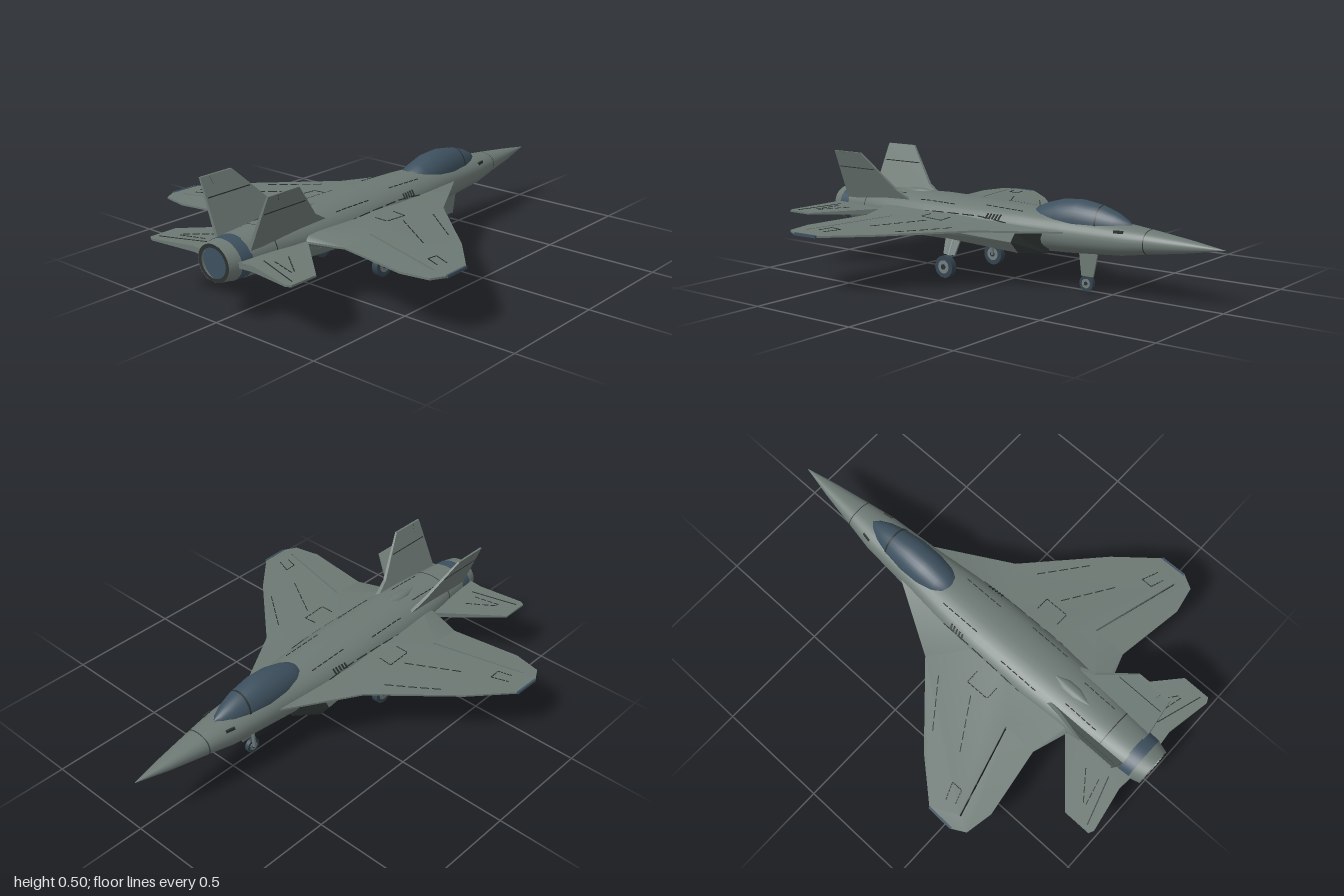
import * as THREE from 'three';
import { toCreasedNormals } from 'three/addons/utils/BufferGeometryUtils.js';

const mat = (name, color) => Object.assign(new THREE.MeshStandardMaterial({ color, side: THREE.DoubleSide }), { name });
const V = (x, y, z) => new THREE.Vector3(x, y, z);

export function createModel() {
  const root = new THREE.Group();
  root.name = 'jetAircraft';
  const grey = mat('hullGrey', 0x6c7873);
  const blue = mat('canopyBlue', 0x3d505e);
  const dark = mat('panelLineDark', 0x2b3130);
  const tyre = mat('tyreSlate', 0x34434e);
  const metal = mat('gearMetal', 0x717d80);

  const add = (name, geo, material) => {
    const m = new THREE.Mesh(geo, material);
    m.name = name;
    root.add(m);
    return m;
  };
  // reflect a geometry across x = 0 and restore its winding
  const mirrored = (geo) => {
    const g = geo.index ? geo.toNonIndexed() : geo.clone();
    g.scale(-1, 1, 1);
    for (const a of Object.values(g.attributes)) {
      for (let i = 0; i < a.count; i += 3) {
        for (let k = 0; k < a.itemSize; k++) {
          const t = a.getComponent(i + 1, k);
          a.setComponent(i + 1, k, a.getComponent(i + 2, k));
          a.setComponent(i + 2, k, t);
        }
      }
    }
    g.computeVertexNormals();
    return toCreasedNormals(g, 0.6);
  };
  const addPair = (name, geo, material) => {
    add(name + 'Right', mirrored(geo), material);
    return add(name + 'Left', geo, material);
  };
  // skin through rounded sections [z, halfWidth, bottom, top]
  const loft = (sections, n = 32, power = 2.2) => {
    const pos = [], idx = [];
    const curve = (v) => Math.sign(v) * Math.abs(v) ** (2 / power);
    sections.forEach(([z, w, b, t], i) => {
      for (let j = 0; j < n; j++) {
        const a = (j / n) * Math.PI * 2;
        pos.push(w * curve(Math.cos(a)), (b + t) / 2 + ((t - b) / 2) * curve(Math.sin(a)), z);
        if (i === sections.length - 1) continue;
        const p = i * n + j, q = i * n + ((j + 1) % n);
        idx.push(p, q, p + n, q, q + n, p + n);
      }
    });
    const g = new THREE.BufferGeometry();
    g.setAttribute('position', new THREE.Float32BufferAttribute(pos, 3));
    g.setIndex(idx);
    g.computeVertexNormals();
    return g;
  };
  // move every vertex by a rule, then refresh normals
  const reshape = (geo, rule) => {
    const p = geo.attributes.position, v = V(0, 0, 0);
    for (let i = 0; i < p.count; i++) {
      rule(v.fromBufferAttribute(p, i));
      p.setXYZ(i, v.x, v.y, v.z);
    }
    geo.computeVertexNormals();
    return geo;
  };
  const shapeOf = (pts) => new THREE.Shape(pts.map(([a, b]) => new THREE.Vector2(a, b)));
  const slab = (shape) => new THREE.ExtrudeGeometry(shape, { depth: 1, bevelEnabled: false });
  // thin box or rod between two points
  const bar = (p, q, w, h) => {
    const g = new THREE.BoxGeometry(w, h, p.distanceTo(q));
    const m = new THREE.Matrix4().lookAt(q, p, V(0, 1, 0));
    return g.applyMatrix4(m.setPosition(p.clone().lerp(q, 0.5)));
  };
  const rod = (p, q, r) => {
    const g = new THREE.CylinderGeometry(r, r, p.distanceTo(q), 12);
    g.applyQuaternion(new THREE.Quaternion().setFromUnitVectors(V(0, 1, 0), q.clone().sub(p).normalize()));
    const c = p.clone().lerp(q, 0.5);
    return g.translate(c.x, c.y, c.z);
  };

  // fuselage, nose joint and tail joint
  const hull = add('fuselage', loft([
    [-1, 0.001, 0.244, 0.246], [-0.85, 0.034, 0.216, 0.267], [-0.675, 0.065, 0.19, 0.288],
    [-0.55, 0.088, 0.17, 0.3], [-0.3, 0.108, 0.152, 0.315], [-0.1, 0.13, 0.145, 0.325],
    [0.1, 0.145, 0.14, 0.33], [0.4, 0.147, 0.14, 0.335], [0.65, 0.132, 0.147, 0.33],
    [0.78, 0.114, 0.15, 0.325], [0.9, 0.102, 0.155, 0.32]]), grey);
  add('noseJoint', loft([[-0.677, 0.066, 0.189, 0.289], [-0.673, 0.067, 0.188, 0.29]]), dark);
  add('tailJoint', loft([[0.778, 0.1155, 0.149, 0.3265], [0.782, 0.115, 0.149, 0.3265]]), dark);
  add('dorsalHump', loft([[0.46, 0.005, 0.3, 0.334], [0.52, 0.028, 0.3, 0.343], [0.58, 0.028, 0.3, 0.342], [0.65, 0.005, 0.3, 0.33]], 16), grey);

  // canopy with its frame
  add('canopy', loft([
    [-0.587, 0.004, 0.28, 0.3], [-0.565, 0.028, 0.24, 0.315], [-0.52, 0.05, 0.22, 0.338],
    [-0.45, 0.068, 0.2, 0.362], [-0.35, 0.08, 0.2, 0.377], [-0.26, 0.081, 0.2, 0.372],
    [-0.18, 0.072, 0.21, 0.35], [-0.14, 0.062, 0.22, 0.333], [-0.12, 0.03, 0.24, 0.318]], 32, 2), blue);
  add('canopyFrame', loft([[-0.454, 0.0685, 0.2, 0.363], [-0.446, 0.07, 0.2, 0.3645]], 32, 2), dark);

  // exhaust nozzle
  add('nozzleBand', loft([[0.895, 0.104, 0.153, 0.322], [0.95, 0.1, 0.155, 0.32]], 32, 2), blue);
  add('nozzle', loft([[0.95, 0.099, 0.156, 0.319], [1, 0.084, 0.162, 0.312]], 32, 2), grey);
  add('nozzleRim', new THREE.RingGeometry(0.066, 0.083, 32).scale(1, 0.91, 1).translate(0, 0.237, 0.999), dark);
  add('nozzleDisc', new THREE.CircleGeometry(0.07, 32).translate(0, 0.237, 0.985), blue);

  // wings: thick at the root and along the flap slot, thin at the edges
  const wingShape = shapeOf([[0.04, -0.33], [0.1, -0.33], [0.285, -0.01], [0.59, 0.27], [0.735, 0.437], [0.743, 0.56],
    [0.71, 0.62], [0.59, 0.643], [0.285, 0.597], [0.14, 0.645], [0.04, 0.645], [0.04, 0.2]]);
  wingShape.holes.push(new THREE.Path([[0.285, 0.445], [0.285, 0.452], [0.68, 0.56], [0.68, 0.553]].map(([a, b]) => new THREE.Vector2(a, b))));
  const wing = addPair('wing', toCreasedNormals(reshape(slab(wingShape).rotateX(Math.PI / 2), (v) => {
    const slot = v.z > 0.44 && v.z < 0.561 && v.x < 0.7;
    const t = slot ? 0.021 - 0.019 * v.x : v.x < 0.05 ? 0.03 : 0.004;
    v.y = 0.252 - 0.014 * v.x + (v.y > -0.5 ? t : -t);
  }), 0.6), grey);
  addPair('wingTipLight', bar(V(0.738, 0.242, 0.44), V(0.741, 0.242, 0.56), 0.009, 0.011), blue);

  // tailplanes
  const tail = addPair('tailplane', toCreasedNormals(reshape(slab(shapeOf([[0.05, 0.645], [0.14, 0.645], [0.382, 0.855],
    [0.382, 0.98], [0.36, 0.991], [0.16, 0.955], [0.05, 0.965]])).rotateX(Math.PI / 2), (v) => {
    const t = v.x < 0.2 ? 0.012 : 0.004;
    v.y = 0.242 + (v.y > -0.5 ? t : -t);
  }), 0.6), grey);

  // canted fins with rudder lines
  const lean = (y) => 0.095 + (y - 0.3) * 0.42;
  addPair('tailFin', reshape(slab(shapeOf([[0.5, 0.3], [0.58, 0.345], [0.73, 0.505], [0.89, 0.505], [0.9, 0.28], [0.5, 0.28]])).rotateY(-Math.PI / 2), (v) => {
    const t = 0.009 - (v.y - 0.28) * 0.02;
    v.x = lean(v.y) + (v.x > -0.5 ? t : -t);
  }), grey);
  const finLine = (name, y1, z1, y2, z2, w) => addPair(name, bar(V(lean(y1), y1, z1), V(lean(y2), y2, z2), w, 0.004), dark);
  finLine('rudderLine', 0.31, 0.8, 0.5, 0.84, 0.015);
  finLine('finCapLine', 0.43, 0.67, 0.43, 0.885, 0.014);

  // air intakes: raked dark mouth, tapering back into the hull
  addPair('airIntake', reshape(slab(shapeOf([[0.08, 0.15], [0.165, 0.155], [0.2, 0.203], [0.19, 0.24], [0.08, 0.24]])), (v) => {
    if (v.z < 0.5) v.z = -0.27 + Math.max(0, v.x - 0.1) * 1.4 + (0.2 - Math.min(v.y, 0.2)) * 0.8;
    else { v.x *= 0.58; v.y = 0.21 + (v.y - 0.21) * 0.7; v.z = 0.72; }
  }), [dark, grey]);

  // panel marks laid on the skin: each is [x1, z1, x2, z2] seen from above
  const ray = new THREE.Raycaster();
  const drop = (mesh, x, z) => {
    ray.set(V(x, 1, z), V(0, -1, 0));
    const hit = ray.intersectObject(mesh)[0];
    return hit ? hit.point : V(x, 0.25, z);
  };
  const dashes = (name, mesh, lines, pieces = 5, fill = 0.75) => lines.forEach(([x1, z1, x2, z2]) => {
    for (let i = 0; i < pieces; i++) {
      const at = (s) => drop(mesh, x1 + (x2 - x1) * s, z1 + (z2 - z1) * s);
      addPair(name, bar(at(i / pieces), at((i + fill) / pieces), 0.004, 0.004), dark);
    }
  });
  root.updateMatrixWorld(true);
  dashes('wingPanelLine', wing, [[0.31, 0.09, 0.507, 0.24], [0.285, 0.25, 0.5, 0.385], [0.25, 0.2, 0.25, 0.31],
    [0.19, 0.2, 0.25, 0.2], [0.19, 0.31, 0.25, 0.31], [0.6, 0.44, 0.675, 0.47], [0.6, 0.49, 0.66, 0.51], [0.6, 0.44, 0.6, 0.49]]);
  dashes('tailPanelLine', tail, [[0.155, 0.892, 0.36, 0.955]], 3, 1);
  dashes('tailPanelDash', tail, [[0.19, 0.8, 0.31, 0.89], [0.19, 0.87, 0.31, 0.9]], 4);
  dashes('hullPanelLine', hull, [[0.128, -0.05, 0.14, 0.45], [0.1, 0.25, 0.1, 0.45], [0.06, 0.57, 0.06, 0.74], [0.075, -0.1, 0.075, 0.1]], 6);

  // side vents and nose sensors
  const side = (y, z) => {
    ray.set(V(1, y, z), V(-1, 0, 0));
    return ray.intersectObject(hull)[0].point;
  };
  for (let i = 0; i < 5; i++) addPair('sideVent', bar(side(0.272, i * 0.016 - 0.01), side(0.292, i * 0.016 - 0.014), 0.007, 0.007), dark);
  addPair('noseSensor', bar(side(0.275, -0.585), side(0.275, -0.545), 0.008, 0.014), dark);

  // landing gear
  const wheel = (x, z, r, w) => {
    const disc = (rad, wid) => new THREE.CylinderGeometry(rad, rad, wid, 24).rotateZ(Math.PI / 2).translate(x, r, z);
    return [['Tyre', disc(r, w), tyre], ['Hub', disc(r * 0.6, w + 0.004), metal], ['Cap', disc(r * 0.25, w + 0.008), dark]];
  };
  wheel(0.17, 0.245, 0.048, 0.028).forEach(([n, g, m]) => addPair('main' + n, g, m));
  addPair('mainLeg', rod(V(0.11, 0.18, 0.24), V(0.15, 0.085, 0.245), 0.012), metal);
  addPair('mainStrut', rod(V(0.148, 0.1, 0.245), V(0.158, 0.045, 0.245), 0.009), metal);
  addPair('mainDoor', reshape(new THREE.BoxGeometry(0.008, 0.075, 0.085), (v) => {
    if (v.y < 0) v.z *= 0.75;
    v.set(v.x + 0.134 - v.y * 0.42, v.y + 0.135, v.z + 0.24);
  }), grey);
  wheel(0.008, -0.38, 0.033, 0.018).forEach(([n, g, m]) => add('nose' + n, g, m));
  add('noseLeg', rod(V(0, 0.17, -0.385), V(-0.006, 0.035, -0.38), 0.008), metal);
  add('noseDoor', reshape(new THREE.BoxGeometry(0.007, 0.095, 0.09), (v) => {
    if (v.y < 0) v.z = v.z * 0.65 + 0.004;
    v.set(v.x + 0.022, v.y + 0.113, v.z - 0.395);
  }), grey);

  return root;
}
